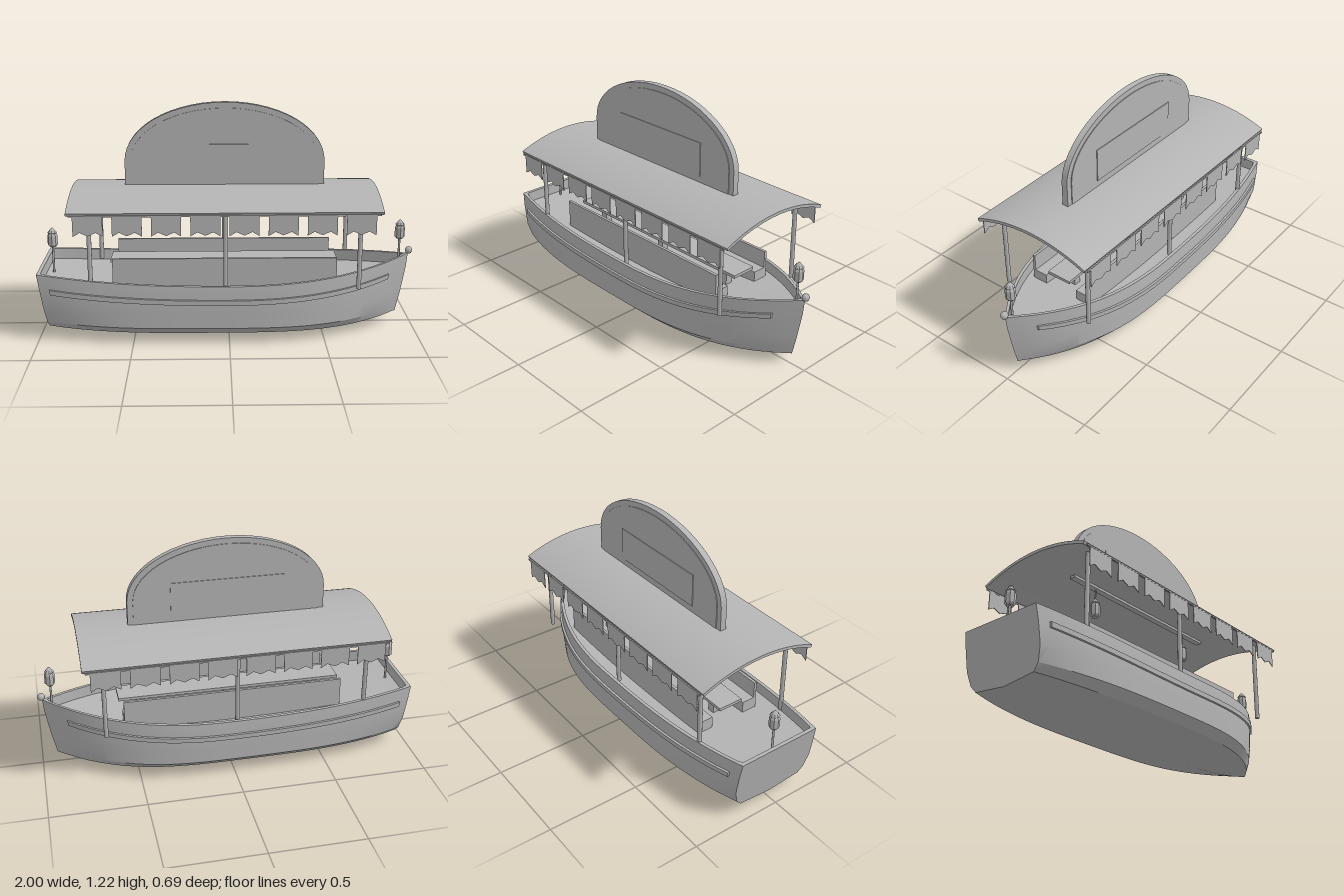
import * as THREE from 'three';
import { mergeGeometries, toCreasedNormals } from 'three/addons/utils/BufferGeometryUtils.js';

const grey = new THREE.MeshStandardMaterial({ color: 0xb4b4b4 });
grey.name = 'plain grey';

// Surface through rows of points; each row is joined to the next.
function grid(rows) {
  const pos = [];
  for (let i = 0; i < rows.length - 1; i++) {
    for (let j = 0; j < rows[i].length - 1; j++) {
      const a = rows[i][j], b = rows[i][j + 1], c = rows[i + 1][j], d = rows[i + 1][j + 1];
      pos.push(...a, ...b, ...c, ...b, ...d, ...c);
    }
  }
  const g = new THREE.BufferGeometry();
  g.setAttribute('position', new THREE.Float32BufferAttribute(pos, 3));
  return g;
}
const crease = (g, angle = 0.45) => toCreasedNormals(g, angle);

// Hull lines: half-width, sheer and keel height along the length
const BOW = 0.975;
const halfWidth = t => t < 0 ? 0.32 - 0.08 * Math.abs(t) ** 3 : 0.32 * (1 - Math.min(1, t / BOW) ** 2.7);
const sheer = t => 0.315 + (t < 0 ? 0.045 : 0.08) * t * t;
const endRise = t => Math.max(0, (Math.abs(t) - 0.35) / 0.63) ** 2;
const keel = t => (t < 0 ? 0.04 : 0.06) * endRise(t);

// Point on the hull side, leaning inwards at stem and stern
function hullPoint(t, y, z) {
  const v = 1 - Math.min(1, y / sheer(t));
  const lean = t > 0 ? -0.08 * v ** 1.4 * t ** 4 : 0.06 * v * t ** 4;
  return [t + lean, y, z];
}
const mirror = p => [p[0], p[1], -p[2]];

function hullGeometry() {
  const outer = [], inner = [], N = 40;
  for (let i = 0; i <= N; i++) {
    const t = -1 + (1 + BOW) * i / N, w = halfWidth(t), s = sheer(t), k = keel(t);
    const low = (t < 0 ? 0.048 + 0.012 * endRise(t) : 0.048 + 0.014 * endRise(t));
    const chine = 0.09 + 0.005 * endRise(t);
    const taper = 1 - 0.08 * endRise(t);
    const half = [
      hullPoint(t, s, w * 0.975), hullPoint(t, s - 0.08, w), hullPoint(t, 0.17, w),
      hullPoint(t, chine, w * taper), hullPoint(t, low, w * 0.86 * taper),
    ];
    outer.push([...half, hullPoint(t, k, 0), ...half.map(mirror).reverse()]);
    const x = Math.min(0.95, Math.max(-0.98, t)), wi = Math.max(0, w * 0.975 - 0.018);
    const rim = [half[0], [x, s, wi], [x, s - 0.06, wi]];
    inner.push([...rim.map(mirror), ...rim.slice().reverse()]);
  }
  const st = outer[0], si = inner[0];
  const transom = [0, 1, 2, 3, 4, 5].map(k => [st[k], st[10 - k]]);
  const sternRim = [0, 1, 2].map(k => [si[k], si[5 - k]]);
  return mergeGeometries([outer, inner, transom, sternRim].map(r => crease(grid(r))));
}

// Rubbing strip that follows the sheer on one side
function strakeGeometry(side) {
  const rows = [];
  for (let i = 0; i <= 30; i++) {
    const t = -0.94 + 1.8 * i / 30, y = sheer(t) - 0.083, w = halfWidth(t);
    const ring = [[0.013, -0.012], [0.013, 0.012], [-0.013, 0.012], [-0.013, -0.012]]
      .map(([dy, dz]) => hullPoint(t, y + dy, (w + dz) * side));
    ring.push(ring[0]);
    rows.push(side > 0 ? [ring[3], ring[0], ring[1], ring[2], ring[3]].map((_, k) => {
      return [ring[0], ring[1], ring[2], ring[3], ring[0]][k];
    }) : ring.reverse());
  }
  const first = rows[0], last = rows[rows.length - 1];
  const caps = [grid([[first[1], first[0]], [first[2], first[3]]]), grid([[last[0], last[1]], [last[3], last[2]]])];
  return mergeGeometries([grid(rows), ...caps].map(g => crease(g)));
}

// Curved roof sheet
function canopyGeometry() {
  const R = 0.861, A = 0.406, T = 0.016, cy = 0.785 - R;
  const s = new THREE.Shape();
  s.absarc(0, cy, R, Math.PI / 2 - A, Math.PI / 2 + A, false);
  s.absarc(0, cy, R - T, Math.PI / 2 + A, Math.PI / 2 - A, true);
  const g = new THREE.ExtrudeGeometry(s, { depth: 1.595, bevelEnabled: false, curveSegments: 20 });
  return crease(g.rotateY(Math.PI / 2).translate(-0.82, 0, 0));
}

// Upright half-oval board, centred on z
function boardGeometry(rx, top, bottom, depth) {
  const s = new THREE.Shape();
  s.moveTo(-rx, bottom);
  s.lineTo(rx, bottom);
  s.lineTo(rx, 0.91);
  s.absellipse(0, 0.91, rx, top - 0.91, 0, Math.PI, false, 0);
  s.lineTo(-rx, bottom);
  const g = new THREE.ExtrudeGeometry(s, { depth, bevelEnabled: false, curveSegments: 14 });
  return crease(g.translate(-0.02, 0, -depth / 2), 0.5);
}

function pennantGeometry() {
  const s = new THREE.Shape();
  [[0, 0.7], [0, 0.597], [0.035, 0.618], [0.075, 0.6], [0.115, 0.618], [0.15, 0.597], [0.15, 0.7]]
    .forEach(([x, y], i) => i ? s.lineTo(x, y) : s.moveTo(x, y));
  return new THREE.ExtrudeGeometry(s, { depth: 0.004, bevelEnabled: false });
}

function lanternGeometry() {
  const profile = [[0, 0], [0.018, 0], [0.027, 0.012], [0.027, 0.062], [0.021, 0.074], [0.026, 0.078], [0.006, 0.102], [0, 0.106]];
  return crease(new THREE.LatheGeometry(profile.map(p => new THREE.Vector2(...p)), 8), 0.3);
}

export function createModel() {
  const model = new THREE.Group();
  model.name = 'tourBoat';
  const add = (name, geometry, x = 0, y = 0, z = 0) => {
    const m = new THREE.Mesh(geometry, grey);
    m.name = name;
    m.position.set(x, y, z);
    model.add(m);
  };
  // Box given by its limits
  const box = (name, x0, x1, y0, y1, z0, z1) => add(name, new THREE.BoxGeometry(x1 - x0, y1 - y0, z1 - z0),
    (x0 + x1) / 2, (y0 + y1) / 2, (z0 + z1) / 2);
  const rod = (name, r, x, y0, y1, z) => add(name, new THREE.CylinderGeometry(r, r, y1 - y0, 10), x, (y0 + y1) / 2, z);

  add('hull', hullGeometry());
  add('canopy', canopyGeometry());

  // Sign board on the roof
  add('signBoard', boardGeometry(0.525, 1.22, 0.755, 0.034));
  add('signFace', boardGeometry(0.495, 1.19, 0.775, 0.042));
  box('signPanel', -0.33, 0.28, 0.82, 1.0, -0.025, 0.025);

  // Table between the benches
  box('tableTop', -0.63, 0.58, 0.37, 0.386, -0.07, 0.07);
  for (const x of [-0.5, -0.02, 0.46]) box('tableLeg', x - 0.02, x + 0.02, 0.25, 0.372, -0.02, 0.02);

  const pennant = pennantGeometry();
  for (const side of [1, -1]) {
    add('rubbingStrip', strakeGeometry(side));
    const z0 = Math.min(side * 0.1, side * 0.18), b0 = Math.min(side * 0.172, side * 0.187);
    box('benchSeat', -0.61, 0.565, 0.25, 0.335, z0, z0 + 0.08);
    box('benchBack', -0.61, 0.565, 0.25, 0.427, b0, b0 + 0.015);
    for (const x of [-0.715, -0.02, 0.67]) rod('canopyPost', 0.012, x, 0.285, 0.735, side * 0.267);
    // Row of pennants under the roof edge
    box('pennantRail', -0.805, 0.76, 0.698, 0.706, side * 0.344 - 0.003, side * 0.344 + 0.003);
    for (let i = 0; i < 8; i++) add('pennant', pennant, -0.785 + i * 0.196, 0, side * 0.344 - 0.002);
  }

  // Lanterns at both ends and under the roof
  const lantern = lanternGeometry();
  for (const [x, base, y] of [[-0.945, 0.29, 0.44], [0.925, 0.31, 0.475]]) {
    rod('lanternPost', 0.006, x, base, y + 0.01, 0);
    add('lantern', lantern, x, y, 0);
  }
  for (const x of [-0.375, 0.345]) {
    rod('lanternHanger', 0.004, x, 0.69, 0.775, 0);
    add('hangingLantern', lantern, x, 0.598, 0);
  }
  add('bowKnob', new THREE.SphereGeometry(0.02, 10, 8), 0.978, 0.408, 0);
  return model;
}
